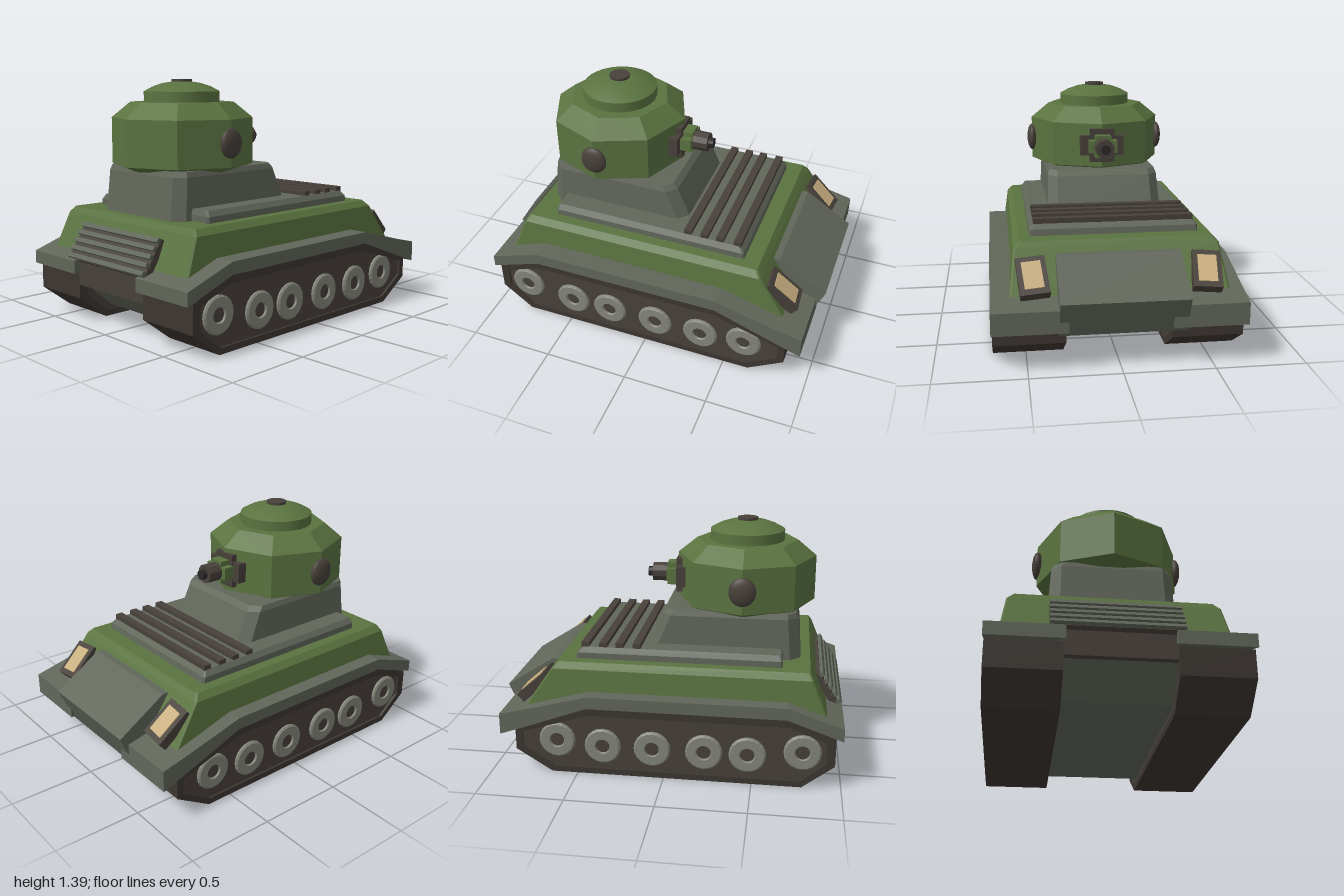
import * as THREE from 'three';
import { toCreasedNormals } from 'three/addons/utils/BufferGeometryUtils.js';

const paint = (color, flatShading = true) => new THREE.MeshStandardMaterial({ color, flatShading });
const GREEN = paint(0x5a7340), GREY = paint(0x61665a), DARK = paint(0x48413b);
const TREAD = paint(0x3c3631), STEEL = paint(0x84867b), TAN = paint(0xc8ae7e), BLACK = paint(0x2a2829);
const GREEN_SMOOTH = paint(0x5a7340, false), DARK_SMOOTH = paint(0x48413b, false);

function add(parent, name, geometry, material, x = 0, y = 0, z = 0) {
  const mesh = new THREE.Mesh(geometry, material);
  mesh.name = name;
  mesh.position.set(x, y, z);
  parent.add(mesh);
  return mesh;
}

const box = (w, h, d) => new THREE.BoxGeometry(w, h, d);
const lathe = (pts, sides) => new THREE.LatheGeometry(pts.map(p => new THREE.Vector2(...p)), sides);
const outline = pts => pts.map(p => new THREE.Vector2(...p));

// Side profile in [z, y], extruded from x0 to x1
function sideExtrude(pts, x0, x1, hole) {
  const shape = new THREE.Shape(outline(pts));
  if (hole) shape.holes.push(new THREE.Path(outline(hole)));
  return new THREE.ExtrudeGeometry(shape, { depth: x1 - x0, bevelEnabled: false })
    .rotateY(-Math.PI / 2).translate(x1, 0, 0);
}

// Horizontal rectangle with cut corners
function ring(y, x, zBack, zFront, c) {
  return [[x - c, zFront], [x, zFront - c], [x, zBack + c], [x - c, zBack],
    [c - x, zBack], [-x, zBack + c], [-x, zFront - c], [c - x, zFront]].map(([a, b]) => [a, y, b]);
}

// Skin stacked rings from bottom to top and cap both ends
function loft(rings) {
  const pos = [], tri = (...p) => p.forEach(v => pos.push(...v));
  const n = rings[0].length, top = rings[rings.length - 1], low = rings[0];
  for (let r = 0; r < rings.length - 1; r++) {
    const a = rings[r], b = rings[r + 1];
    for (let i = 0; i < n; i++) {
      const j = (i + 1) % n;
      tri(a[i], a[j], b[j]);
      tri(a[i], b[j], b[i]);
    }
  }
  for (let i = 1; i < n - 1; i++) {
    tri(top[0], top[i], top[i + 1]);
    tri(low[0], low[i + 1], low[i]);
  }
  const g = new THREE.BufferGeometry();
  g.setAttribute('position', new THREE.Float32BufferAttribute(pos, 3));
  g.computeVertexNormals();
  return g;
}

function buildRunningGear(parent, side) {
  const gear = new THREE.Group();
  gear.name = side > 0 ? 'leftRunningGear' : 'rightRunningGear';
  parent.add(gear);
  const span = (a, b) => side > 0 ? [a, b] : [-b, -a];

  // Track belt around a slightly recessed side plate
  const belt = [[0.78, 0], [0.96, 0.14], [0.96, 0.3], [0.7, 0.41], [-0.44, 0.41], [-0.86, 0.27], [-0.86, 0.13], [-0.65, 0]];
  const plate = [[0.77, 0.035], [0.91, 0.15], [0.91, 0.28], [0.7, 0.36], [-0.43, 0.36], [-0.82, 0.24], [-0.82, 0.15], [-0.64, 0.035]];
  add(gear, 'trackBelt', sideExtrude(belt, ...span(0.29, 0.683), plate), TREAD);
  add(gear, 'trackSidePlate', sideExtrude(plate, ...span(0.295, 0.668)), DARK);

  // Fender folded down at both ends
  add(gear, 'fender', sideExtrude([[1, 0.37], [0.69, 0.475], [-0.44, 0.475], [-0.78, 0.385], [-0.95, 0.345],
    [-0.95, 0.22], [-0.78, 0.28], [-0.44, 0.405], [0.69, 0.405], [1, 0.295]], ...span(0.28, 0.69)), GREY);

  // Road wheels
  const wheels = [[0.78, 0.21], [0.475, 0.175], [0.23, 0.175], [-0.065, 0.175], [-0.35, 0.175], [-0.615, 0.2]];
  for (const [z, y] of wheels) {
    const rim = lathe([[0.04, -0.02], [0.105, -0.02], [0.105, 0.012], [0.095, 0.02], [0.045, 0.02], [0.04, 0.012], [0.04, -0.02]], 20);
    add(gear, 'roadWheel', rim, STEEL, side * 0.667, y, z).rotation.z = -side * Math.PI / 2;
    add(gear, 'wheelHub', new THREE.CylinderGeometry(0.041, 0.041, 0.03, 12), DARK, side * 0.66, y, z).rotation.z = Math.PI / 2;
  }
}

function buildHull(parent) {
  // Belly between the tracks, and the dark nose plate
  add(parent, 'belly', sideExtrude([[0.92, 0.225], [0.74, 0.065], [-0.6, 0.065], [-0.88, 0.19], [-0.88, 0.38], [0.9, 0.38]], -0.3, 0.3), GREY);
  add(parent, 'nosePlate', box(0.58, 0.155, 0.2), DARK, 0, 0.302, 0.86);

  const body = new THREE.Group();
  body.name = 'upperBody';
  body.position.x = -0.015;
  parent.add(body);

  add(body, 'upperHull', loft([ring(0.38, 0.6, -0.81, 0.915, 0.01), ring(0.6, 0.572, -0.66, 0.825, 0.01),
    ring(0.635, 0.54, -0.63, 0.805, 0.01)]), GREEN);
  add(body, 'rearBox', sideExtrude([[-0.6, 0.12], [-0.91, 0.19], [-1, 0.395], [-0.715, 0.575], [-0.6, 0.575]], -0.345, 0.345), GREY);

  // Raised deck with ribs across the rear
  add(body, 'deck', loft([ring(0.61, 0.48, -0.54, 0.65, 0.01), ring(0.67, 0.478, -0.53, 0.65, 0.01),
    ring(0.7, 0.455, -0.505, 0.64, 0.01)]), GREY);
  for (const z of [-0.485, -0.38, -0.285, -0.185]) add(body, 'deckRib', box(0.91, 0.04, 0.045), DARK, 0, 0.706, z);

  // Sloped front grille
  const grille = new THREE.Group();
  grille.name = 'frontGrille';
  grille.position.set(0, 0.46, 0.905);
  grille.rotation.x = -0.57;
  body.add(grille);
  add(grille, 'grilleBack', box(0.69, 0.225, 0.04), DARK);
  for (let i = 0; i < 5; i++) add(grille, 'grilleSlat', box(0.69, 0.026, 0.03), GREY, 0, -0.096 + i * 0.048, 0.026);

  // Rear lamps
  for (const s of [-1, 1]) {
    const lamp = new THREE.Group();
    lamp.name = s > 0 ? 'leftRearLamp' : 'rightRearLamp';
    lamp.position.set(s * 0.475, 0.472, -0.772);
    lamp.rotation.set(-0.73, s * 0.1, 0);
    body.add(lamp);
    add(lamp, 'lampFrame', box(0.16, 0.06, 0.23), DARK);
    add(lamp, 'lampLens', box(0.105, 0.012, 0.165), TAN, 0, 0.03, 0);
  }
  return body;
}

function buildTurret(body) {
  add(body, 'turretBase', loft([ring(0.62, 0.348, -0.17, 0.75, 0.06), ring(0.87, 0.336, -0.06, 0.725, 0.055),
    ring(0.9, 0.325, -0.03, 0.715, 0.05)]), GREY);

  const turret = new THREE.Group();
  turret.name = 'turret';
  turret.position.z = 0.41;
  body.add(turret);

  // Eight-sided shell with corners on the axes
  add(turret, 'turretShell', lathe([[0, 0.88], [0.34, 0.88], [0.41, 0.91], [0.41, 1.175], [0.3, 1.265], [0, 1.265]], 8), GREEN);

  // Round hatch with a domed lid
  const lid = lathe([[0.22, 1.25], [0.22, 1.325], [0.17, 1.352], [0.115, 1.371], [0.06, 1.38], [0, 1.384]], 28);
  add(turret, 'hatch', toCreasedNormals(lid, 0.5), GREEN_SMOOTH);
  add(turret, 'hatchKnob', new THREE.CylinderGeometry(0.06, 0.06, 0.03, 16), DARK, 0, 1.38, 0);

  // Side bosses
  for (const s of [-1, 1]) {
    const boss = add(turret, 'sideBoss', new THREE.SphereGeometry(1, 20, 14), DARK_SMOOTH, s * 0.408, 1.045, 0);
    boss.scale.set(0.032, 0.084, 0.078);
  }

  // Gun pointing backwards
  const gun = new THREE.Group();
  gun.name = 'gun';
  gun.position.set(0, 1.045, -0.41);
  turret.add(gun);
  add(gun, 'mantletWide', box(0.265, 0.12, 0.12), DARK, 0, 0, 0.06);
  add(gun, 'mantletTall', box(0.15, 0.205, 0.12), DARK, 0, 0, 0.055);
  const tube = (name, r, z0, z1, material, sides) =>
    add(gun, name, new THREE.CylinderGeometry(r, r, z0 - z1, sides), material, 0, 0, (z0 + z1) / 2).rotation.x = Math.PI / 2;
  add(gun, 'collarWide', box(0.17, 0.075, 0.08), GREEN, 0, 0, -0.025);
  add(gun, 'collarTall', box(0.095, 0.135, 0.08), GREEN, 0, 0, -0.025);
  tube('barrel', 0.057, -0.05, -0.155, DARK, 10);
  tube('muzzle', 0.03, -0.15, -0.185, BLACK, 10);
}

export function createModel() {
  const model = new THREE.Group();
  model.name = 'tank';
  for (const side of [-1, 1]) buildRunningGear(model, side);
  buildTurret(buildHull(model));
  return model;
}
